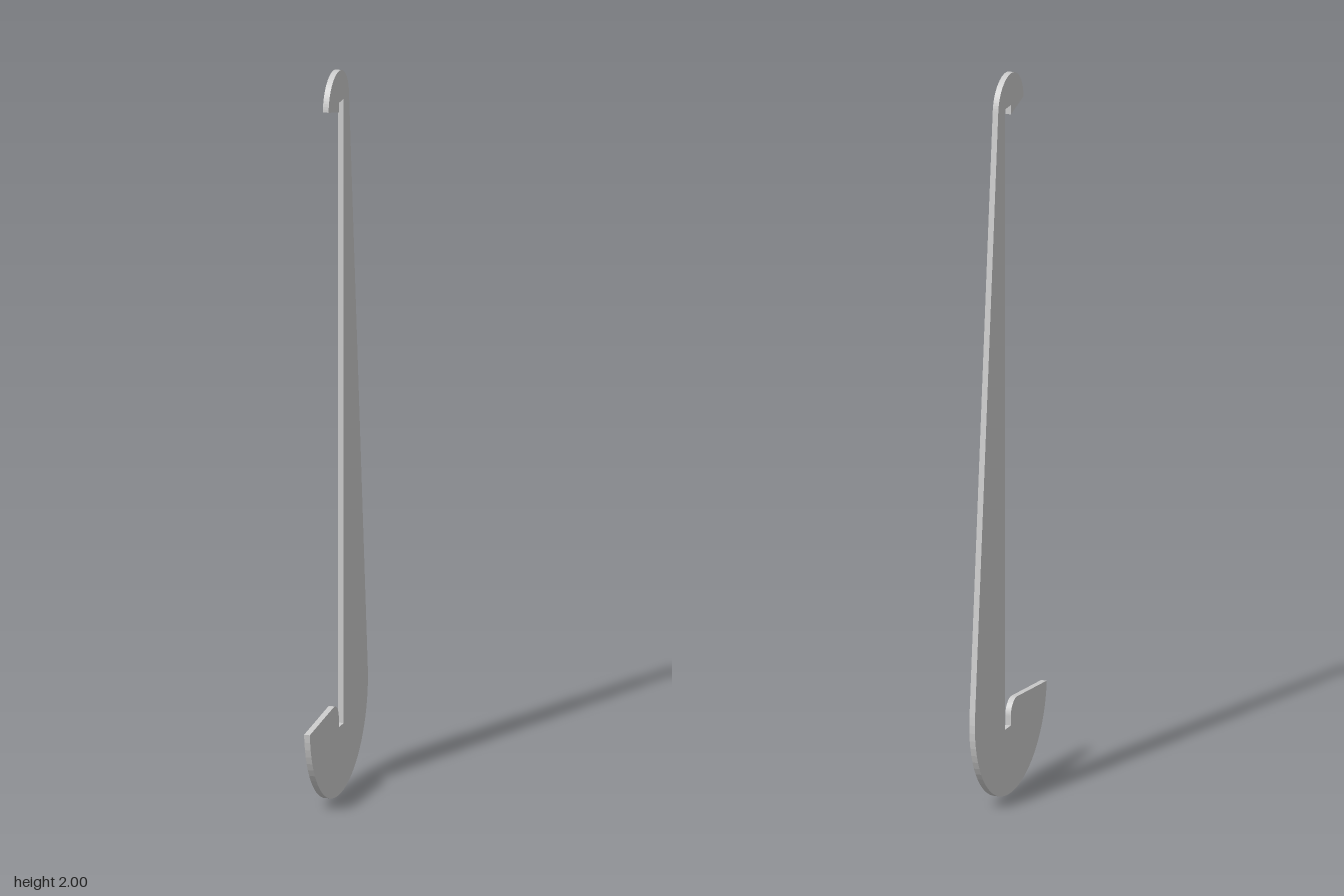
import * as THREE from 'three';

export function createModel() {
  const group = new THREE.Group();
  const thickness = 0.016;
  const bigR = 0.257, smallR = 0.09, topY = 2 - smallR;
  const slot = 0.043; // half width of the hook slots

  // Angle of the straight back edge, tangent to both end arcs
  const lean = Math.asin((bigR - smallR) / (topY - bigR));

  // Side outline: shape x is the model's z
  const outline = new THREE.Shape();
  // Lower hook, round the bottom to the back
  outline.absarc(0, bigR, bigR, -0.08, -Math.PI - lean, true);
  // Tapered back edge and upper hook
  outline.absarc(0, topY, smallR, Math.PI - lean, 0, true);
  outline.lineTo(0, 1.886);
  outline.lineTo(0, 1.912);
  // Straight inner edge
  outline.lineTo(-slot, 1.912);
  outline.lineTo(-slot, 0.187);
  // Lower slot with rounded lip
  outline.lineTo(0, 0.187);
  outline.lineTo(0, 0.21);
  outline.absarc(slot, 0.212, slot, Math.PI, Math.PI / 2 - 0.08, true);
  outline.closePath();

  const geometry = new THREE.ExtrudeGeometry(outline, {
    depth: thickness, bevelEnabled: false, curveSegments: 18,
  });
  geometry.translate(0, 0, -thickness / 2);
  geometry.rotateY(-Math.PI / 2);

  const plate = new THREE.Mesh(geometry, new THREE.MeshStandardMaterial({ color: 0xcccccc, flatShading: true }));
  plate.name = 'doubleHookPlate';
  group.add(plate);
  return group;
}
